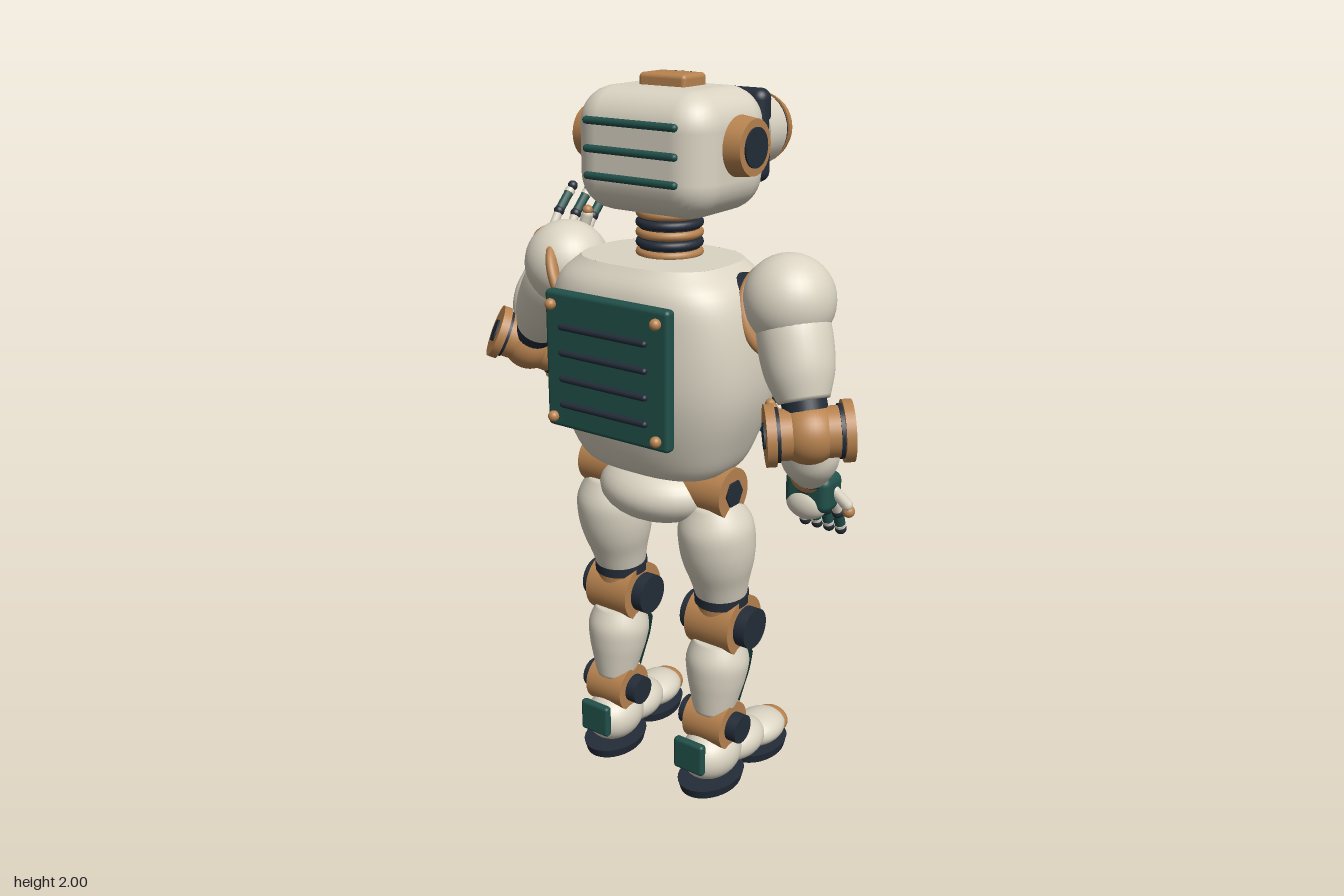
import * as THREE from 'three';
import { mergeVertices } from 'three/addons/utils/BufferGeometryUtils.js';
import { RoundedBoxGeometry } from 'three/addons/geometries/RoundedBoxGeometry.js';

const V = (x, y, z) => new THREE.Vector3(x, y, z);
const CX = 0.075; // the body's mid line; the face looks towards -z

export function createModel() {
  const root = new THREE.Group();
  const paint = (name, color) => {
    const m = new THREE.MeshStandardMaterial({ color, side: THREE.DoubleSide });
    m.name = name;
    return m;
  };
  const cream = paint('cream shell', 0xdbd4c3);
  const copper = paint('copper', 0xb8834f);
  const dark = paint('dark rubber', 0x232c38);
  const green = paint('deep green', 0x21504a);

  const add = (name, geometry, material, pos = V(0, 0, 0), parent = root) => {
    const m = new THREE.Mesh(geometry, material);
    m.name = name;
    m.position.copy(pos);
    parent.add(m);
    return m;
  };
  const ball = (name, mat, pos, rx, ry = rx, rz = rx, parent = root) => {
    const m = add(name, new THREE.SphereGeometry(1, 32, 20), mat, pos, parent);
    m.scale.set(rx, ry, rz);
    return m;
  };
  const box = (name, mat, pos, w, h, d, r = 0.01) =>
    add(name, new RoundedBoxGeometry(w, h, d, 4, r), mat, pos);
  const aim = (m, a, b) => {
    m.quaternion.setFromUnitVectors(V(0, 1, 0), b.clone().sub(a).normalize());
    return m;
  };
  // straight round bar from a to b
  const rod = (name, mat, a, b, r, r2 = r, sides = 32) =>
    aim(add(name, new THREE.CylinderGeometry(r2, r, a.distanceTo(b), sides), mat, a.clone().lerp(b, 0.5)), a, b);
  // turned limb from a to b, radii spread evenly along it
  const limb = (name, mat, a, b, radii, phi = 0, arc = Math.PI * 2) => {
    const len = a.distanceTo(b);
    const curve = new THREE.SplineCurve(radii.map((r, i) => new THREE.Vector2(r, (i / (radii.length - 1)) * len)));
    const pts = curve.getPoints(20);
    if (arc > 6) pts.unshift(new THREE.Vector2(0, 0)), pts.push(new THREE.Vector2(0, len));
    return aim(add(name, new THREE.LatheGeometry(pts, 32, phi, arc), mat, a), a, b);
  };
  const capsule = (name, mat, a, b, r) =>
    aim(add(name, new THREE.CapsuleGeometry(r, a.distanceTo(b), 5, 12), mat, a.clone().lerp(b, 0.5)), a, b);

  // torso: rounded-square sections blended from waist to collar (half width, y, half depth)
  const rows = new THREE.CatmullRomCurve3([[0.12, 0.96, 0.1], [0.215, 0.98, 0.145], [0.27, 1.08, 0.185], [0.31, 1.22, 0.213],
    [0.305, 1.38, 0.215], [0.275, 1.48, 0.205], [0.21, 1.54, 0.165]].map((p) => V(...p)));
  const power = (t) => Math.sign(t) * Math.abs(t) ** 0.72;
  const onTorso = (phi, v, off = 0) => {
    const p = rows.getPoint(v);
    return V(CX + (p.x + off) * power(Math.sin(phi)), p.y, 0.125 + (p.z + off) * power(Math.cos(phi)));
  };
  const wrap = (phi0, phi1, v0, v1, off) => {
    const g = new THREE.PlaneGeometry(1, 1, 72, 30);
    const p = g.attributes.position;
    for (let i = 0; i < p.count; i++) {
      const q = onTorso(phi0 + (p.getX(i) + 0.5) * (phi1 - phi0), v0 + (p.getY(i) + 0.5) * (v1 - v0), off);
      p.setXYZ(i, q.x, q.y, q.z);
    }
    g.deleteAttribute('uv');
    g.deleteAttribute('normal');
    const merged = mergeVertices(g, 1e-5);
    merged.computeVertexNormals();
    return merged;
  };
  add('torso', wrap(0, Math.PI * 2, 0, 1, 0), cream);
  const rim = new THREE.Shape();
  for (let i = 0; i < 64; i++) {
    const q = onTorso((i / 64) * Math.PI * 2, 1);
    i ? rim.lineTo(q.x, -q.z) : rim.moveTo(q.x, -q.z);
  }
  add('torsoTop', new THREE.ShapeGeometry(rim), cream, V(0, 1.54, 0)).rotation.x = -Math.PI / 2;
  add('chestPlate', wrap(Math.PI - 1.24, Math.PI + 1.24, 0.3, 0.87, 0.014), green);
  for (const s of [-1, 1]) {
    const pts = [[0.47, 0.77], [0.35, 0.6], [0.38, 0.47]].map(([f, v]) => onTorso(Math.PI + s * f, v, 0.022));
    rod('chestPipe', copper, pts[0], pts[1], 0.008);
    rod('chestPipe', copper, pts[1], pts[2], 0.008);
    pts.forEach((p, i) => ball('pipeStud', copper, p, i === 1 ? 0.009 : 0.016));
  }
  for (const v of [0.36, 0.385, 0.41])
    capsule('chestVent', dark, onTorso(Math.PI - 0.07, v, 0.015), onTorso(Math.PI + 0.07, v, 0.015), 0.006);

  // service panel on the +z side
  box('backPanel', green, V(CX, 1.285, 0.355), 0.395, 0.37, 0.035, 0.012);
  for (const y of [1.38, 1.31, 1.24, 1.17]) capsule('backSlat', dark, V(-0.06, y, 0.38), V(0.205, y, 0.38), 0.009);
  for (const x of [-0.095, 0.24]) for (const y of [1.435, 1.13]) ball('panelStud', copper, V(x, y, 0.38), 0.015);

  // neck and head
  rod('neck', dark, V(CX, 1.52, 0.092), V(CX, 1.67, 0.092), 0.08);
  for (let i = 0; i < 5; i++) {
    const ring = add('neckRing', new THREE.TorusGeometry(0.078, 0.012, 10, 36), i % 2 ? dark : copper, V(CX, 1.545 + i * 0.026, 0.092));
    ring.rotation.x = Math.PI / 2;
  }
  box('head', cream, V(CX, 1.812, 0.085), 0.42, 0.316, 0.34, 0.095);
  box('crownBlock', copper, V(CX, 1.978, 0.08), 0.145, 0.044, 0.1, 0.012);
  for (const x of [-0.025, 0, 0.025]) box('crownDot', dark, V(CX + x, 1.995, 0.031), 0.015, 0.008, 0.008, 0.002);
  for (const y of [1.89, 1.82, 1.752]) capsule('headSlat', green, V(-0.06, y, 0.262), V(0.21, y, 0.262), 0.01);
  for (const s of [-1, 1]) {
    const at = (d) => V(CX + s * d, 1.835, 0.095);
    rod('earBase', dark, at(0.19), at(0.217), 0.068);
    rod('ear', copper, at(0.215), at(0.262), 0.076, 0.07);
    rod('earCap', dark, at(0.25), at(0.267), 0.05);
  }

  // goggles
  box('facePlate', dark, V(CX, 1.838, -0.078), 0.38, 0.24, 0.06, 0.028);
  box('mouthBlock', copper, V(CX, 1.705, -0.075), 0.09, 0.022, 0.03, 0.008);
  for (const s of [-1, 1]) {
    const at = (z) => V(CX + s * 0.1015, 1.845, z);
    rod('eyeBarrel', cream, at(-0.08), at(-0.16), 0.095);
    rod('eyeBand', dark, at(-0.15), at(-0.178), 0.09);
    rod('eyeFlange', copper, at(-0.172), at(-0.19), 0.095, 0.09);
    rod('eyeBezel', copper, at(-0.185), at(-0.208), 0.082);
    rod('eyeFace', dark, at(-0.2), at(-0.212), 0.07);
    add('eyeRing', new THREE.TorusGeometry(0.042, 0.007, 8, 32), copper, at(-0.211));
    rod('eyeLens', dark, at(-0.205), at(-0.218), 0.034);
    rod('eyePupil', copper, at(-0.21), at(-0.222), 0.02, 0.016, 6);
  }

  // pelvis and legs
  ball('pelvis', cream, V(CX, 0.895, 0.13), 0.18, 0.095, 0.155);
  ball('pelvisFront', cream, V(CX, 0.885, 0.03), 0.095, 0.07, 0.055);
  for (const s of [-1, 1]) {
    const x = CX + s * 0.178;
    const cap = (name, mat, y, z, d0, d1, r, sides) => rod(name, mat, V(x + d0, y, z), V(x + d1, y, z), r, r, sides);
    cap('hipJoint', copper, 0.925, 0.133, -s * 0.1, s * 0.062, 0.07);
    cap('hipRim', dark, 0.925, 0.133, -s * 0.085, -s * 0.07, 0.06);
    cap('hipBolt', dark, 0.925, 0.133, s * 0.05, s * 0.068, 0.038, 6);
    limb('thigh', cream, V(x, 0.585, 0.088), V(x, 0.895, 0.135), [0.07, 0.083, 0.1, 0.107, 0.1, 0.06]);
    rod('thighCuff', dark, V(x, 0.575, 0.088), V(x, 0.602, 0.09), 0.077);
    rod('kneeCuff', copper, V(x, 0.555, 0.086), V(x, 0.578, 0.088), 0.074);
    cap('knee', copper, 0.51, 0.082, -0.073, 0.073, 0.087);
    cap('kneeCap', dark, 0.51, 0.082, -0.108, 0.108, 0.058);
    const lo = V(x, 0.235, 0.122), hi = V(x, 0.455, 0.098);
    limb('calf', cream, lo, hi, [0.058, 0.072, 0.085, 0.09, 0.072]);
    limb('shinPlate', green, lo.clone().lerp(hi, 0.1), lo.clone().lerp(hi, 0.82), [0.073, 0.084, 0.095, 0.1], Math.PI - 0.85, 1.7);
    cap('ankle', copper, 0.2, 0.118, -0.064, 0.064, 0.07);
    cap('ankleCap', dark, 0.2, 0.118, -0.098, 0.098, 0.042);

    // foot, toes turned out slightly
    const foot = new THREE.Group();
    foot.name = 'foot';
    foot.position.set(x, 0, 0.12);
    foot.rotation.y = -s * 0.07;
    root.add(foot);
    ball('heel', cream, V(0, 0.1, 0.01), 0.08, 0.078, 0.1, foot);
    ball('instep', cream, V(0, 0.085, -0.11), 0.074, 0.058, 0.1, foot);
    ball('toeBox', cream, V(0, 0.07, -0.22), 0.073, 0.048, 0.095, foot);
    ball('toeCap', copper, V(0, 0.064, -0.285), 0.055, 0.04, 0.045, foot);
    for (const [z, r, len] of [[0.01, 0.084, 0.115], [-0.215, 0.078, 0.11]]) {
      const sole = add('sole', new THREE.CylinderGeometry(1, 0.92, 0.028, 36), dark, V(0, 0.014, z), foot);
      sole.scale.set(r, 1, len);
    }
    const plate = add('heelPlate', new RoundedBoxGeometry(0.1, 0.098, 0.025, 4, 0.01), green, V(0, 0.132, 0.11), foot);
    plate.rotation.y = s * 0.07;
  }

  // arms: the -x one is raised in a wave, the +x one hangs down
  const finger = (pts) => {
    capsule('fingerBase', cream, pts[0], pts[1], 0.014);
    ball('knuckle', dark, pts[1], 0.017);
    const near = pts[1].clone().lerp(pts[2], 0.7);
    capsule('fingerMiddle', green, pts[1], near, 0.015);
    rod('fingerBand', cream, near, pts[1].clone().lerp(pts[2], 0.85), 0.016);
    ball('fingerTip', dark, pts[2], 0.016);
  };
  const arm = ({ shoulder, ring, ringAxis, elbow, axis, wrist }) => {
    ball('shoulder', cream, shoulder, 0.12);
    const inner = V(CX + Math.sign(shoulder.x) * 0.22, 1.45, 0.11);
    rod('shoulderAxle', dark, inner, shoulder, 0.07);
    const hoop = aim(add('shoulderRing', new THREE.TorusGeometry(0.108, 0.022, 12, 40).rotateX(Math.PI / 2), copper, ring), V(0, 0, 0), ringAxis);
    hoop.scale.y = 0.7;
    const cuff = shoulder.clone().lerp(elbow, 0.76);
    limb('upperArm', cream, cuff, shoulder, [0.066, 0.088, 0.096, 0.095, 0.08]);
    rod('upperArmCuff', dark, shoulder.clone().lerp(elbow, 0.73), elbow, 0.058);
    const n = axis.clone().normalize();
    const at = (d) => elbow.clone().addScaledVector(n, d);
    ball('elbow', copper, elbow, 0.08);
    rod('elbowAxle', copper, at(-0.085), at(0.085), 0.066);
    for (const s of [-1, 1]) {
      rod('elbowRim', dark, at(s * 0.075), at(s * 0.088), 0.07);
      rod('elbowDisc', copper, at(s * 0.085), at(s * 0.11), 0.08);
      rod('elbowBolt', dark, at(s * 0.1), at(s * 0.115), 0.038, 0.038, 6);
    }
    limb('forearm', cream, wrist, elbow.clone().lerp(wrist, 0.2), [0.05, 0.064, 0.076, 0.074, 0.055]);
    const e = elbow.clone().lerp(wrist, 0.92), f = elbow.clone().lerp(wrist, 1.15);
    rod('wristCuff', dark, e, f, 0.052);
  };

  arm({ shoulder: V(-0.28, 1.465, 0.09), ring: V(-0.245, 1.425, 0.115), ringAxis: V(0.85, 0.35, -0.3),
    elbow: V(-0.535, 1.16, -0.022), axis: V(0.13, -0.08, -0.135), wrist: V(-0.585, 1.38, -0.17) });
  capsule('forearmStud', copper, V(-0.575, 1.33, -0.07), V(-0.575, 1.36, -0.09), 0.012);
  ball('raisedPalm', copper, V(-0.59, 1.44, -0.225), 0.074, 0.045, 0.075);
  ball('raisedPalmRim', dark, V(-0.59, 1.432, -0.24), 0.088, 0.034, 0.085).rotation.x = 0.25;
  ball('raisedPalmBase', cream, V(-0.59, 1.415, -0.25), 0.06, 0.03, 0.06);
  for (const x of [-0.655, -0.586, -0.517])
    finger([V(x, 1.455, -0.28), V(x, 1.505, -0.315), V(x, 1.575, -0.385)]);
  capsule('raisedThumb', cream, V(-0.53, 1.44, -0.21), V(-0.475, 1.475, -0.21), 0.016);
  capsule('raisedThumbTip', cream, V(-0.472, 1.48, -0.21), V(-0.457, 1.53, -0.215), 0.018);
  ball('raisedThumbEnd', copper, V(-0.455, 1.545, -0.215), 0.016);

  arm({ shoulder: V(0.44, 1.465, 0.085), ring: V(0.395, 1.425, 0.065), ringAxis: V(0.85, 0.3, 0.25),
    elbow: V(0.55, 1.155, 0.155), axis: V(0.78, 0.06, -0.6), wrist: V(0.485, 0.99, 0.02) });
  capsule('forearmPin', copper, V(0.42, 1.2, 0.13), V(0.45, 1.15, 0.12), 0.013);
  ball('hangingWrist', copper, V(0.48, 0.985, 0.015), 0.055);
  box('hangingPalm', green, V(0.48, 0.935, -0.005), 0.135, 0.105, 0.095, 0.025);
  ball('hangingPalmPad', cream, V(0.475, 0.9, 0.02), 0.06, 0.045, 0.035);
  for (const x of [0.425, 0.462, 0.499, 0.536])
    finger([V(x, 0.9, -0.025), V(x, 0.865, -0.045), V(x, 0.81, -0.065)]);
  capsule('hangingThumb', cream, V(0.54, 0.94, -0.01), V(0.57, 0.9, -0.03), 0.016);
  ball('hangingThumbTip', copper, V(0.573, 0.88, -0.035), 0.017);
  return root;
}
